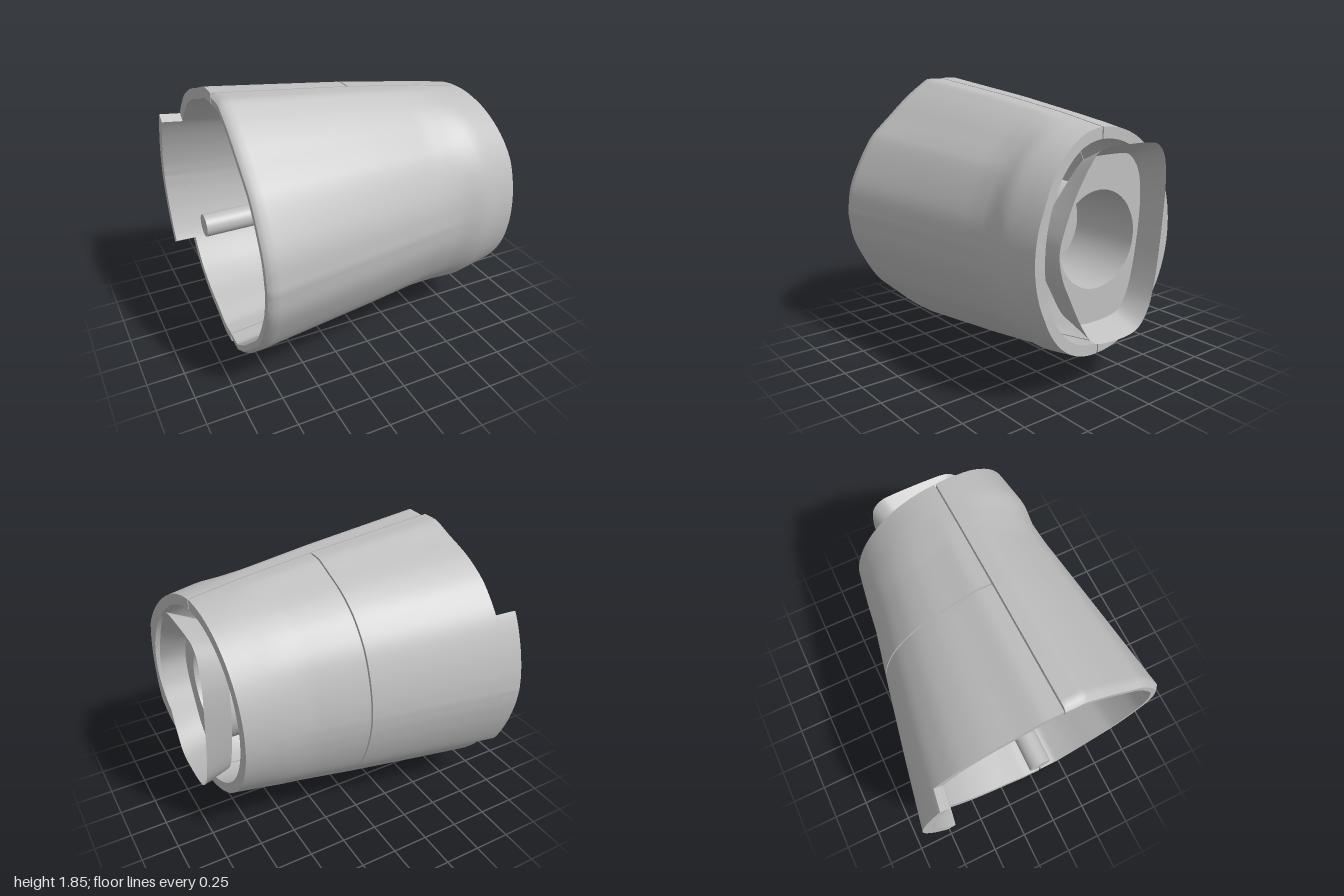
import * as THREE from 'three';
import { mergeGeometries } from 'three/addons/utils/BufferGeometryUtils.js';

const grey = new THREE.MeshStandardMaterial({ color: 0xc0c0c0, side: THREE.DoubleSide });
grey.name = 'plain grey';

const MID = 0.92; // height of the long axis
const WALL = 0.07;

// Piecewise linear lookup in [x, value] pairs
function lookup(table, x) {
  if (x <= table[0][0]) return table[0][1];
  for (let i = 1; i < table.length; i++) {
    const [a, va] = table[i - 1], [b, vb] = table[i];
    if (x <= b) return va + (vb - va) * (x - a) / (b - a);
  }
  return table[table.length - 1][1];
}

const curve = (pts, closed = false) =>
  new THREE.CatmullRomCurve3(pts.map(([a, b]) => new THREE.Vector3(a, b, 0)), closed, 'centripetal');

// Quarter outlines at the wide end, from the seam to the widest point
const front = {
  dir: 1, seam: 0.087,
  width: [[-0.86, 0.908], [0.45, 0.72], [0.58, 0.705], [0.66, 0.712], [0.74, 0.72], [1, 0.68]],
  quarter: curve([[0, 1], [0.155, 1], [0.165, 0.998], [0.26, 0.943], [0.344, 0.89], [0.45, 0.813],
    [0.55, 0.732], [0.66, 0.645], [0.745, 0.57], [0.87, 0.39], [0.965, 0.2], [1, 0]]),
};
const back = {
  dir: -1, seam: 0.077,
  width: [[-1, 0.91], [-0.86, 0.885], [-0.5, 0.82], [0, 0.725], [0.4, 0.645], [0.6, 0.62], [0.85, 0.58]],
  quarter: curve([[0, 1], [0.125, 1], [0.14, 0.997], [0.3, 0.935], [0.4, 0.9], [0.505, 0.857], [0.66, 0.762],
    [0.75, 0.675], [0.85, 0.545], [0.94, 0.33], [0.988, 0.13], [1, 0]]),
};
const height = [[-1, 0.938], [-0.83, 0.92], [0, 0.83], [0.55, 0.757], [0.89, 0.70], [1, 0.68]];
const roundness = [[-0.86, 0], [0.4, 0.3], [0.55, 0.6], [0.7, 1]];
// Slanted mouth at the narrow end, x against z
const mouth = [[-0.58, 0.845], [0.08, 0.887], [0.25, 0.91], [0.45, 0.955], [0.62, 1], [0.7, 1]];

// Point on the shell; s runs from -1 (bottom seam) through 0 (widest) to 1 (top seam)
function shellPoint(half, s, x, inset) {
  const k = 1 - Math.abs(s);
  const wide = half.quarter.getPointAt(k);
  const angle = k * Math.PI / 2;
  const t = lookup(roundness, x);
  const across = THREE.MathUtils.lerp(wide.x, Math.sin(angle), t);
  const up = THREE.MathUtils.lerp(wide.y, Math.cos(angle), t);
  // only the front shell has a chamfered outer edge
  const trim = inset + (half.dir > 0 && !inset ? Math.max(0, -0.83 - x) : 0);
  const w = lookup(half.width, x) - half.dir * half.seam - trim;
  const h = lookup(height, x) - trim;
  return [x, MID + Math.sign(s) * h * up, half.seam + half.dir * w * across];
}

// Smooth surface from a function of two steps in 0..1
function grid(fn, nu, nv) {
  const pos = [], index = [];
  for (let i = 0; i <= nu; i++) for (let j = 0; j <= nv; j++) pos.push(...fn(i / nu, j / nv));
  for (let i = 0; i < nu; i++) for (let j = 0; j < nv; j++) {
    const a = i * (nv + 1) + j, b = a + nv + 1;
    index.push(a, b, a + 1, b, b + 1, a + 1);
  }
  const g = new THREE.BufferGeometry();
  g.setAttribute('position', new THREE.Float32BufferAttribute(pos, 3));
  g.setIndex(index);
  g.computeVertexNormals();
  return g;
}

// Thick shell panel between two ends; without x1 it runs to the slanted mouth
function panel(name, half, x0, x1, sMax = 1) {
  const cols = 100, rows = 40, edge = 0.03;
  const at = (i, j, inset) => {
    const s = sMax * (2 * i - 1);
    const end = x1 ?? lookup(mouth, shellPoint(half, s, 0.93, inset)[2]);
    // a short first row holds the chamfer
    const first = 1 / rows;
    const x = j < first ? x0 + edge * j / first : x0 + edge + (end - x0 - edge) * (j - first) / (1 - first);
    return shellPoint(half, s, x, inset);
  };
  const mesh = new THREE.Mesh(mergeGeometries([
    grid((i, j) => at(i, j, 0), cols, rows),
    grid((i, j) => at(1 - i, j, WALL), cols, rows),
    grid((i, k) => at(i, 0, (1 - k) * WALL), cols, 1),
    grid((i, k) => at(i, 1, k * WALL), cols, 1),
    grid((k, j) => at(0, j, (1 - k) * WALL), 1, rows),
    grid((k, j) => at(1, j, k * WALL), 1, rows),
  ]), grey);
  mesh.name = name;
  return mesh;
}

// Flared outlet outlines as [z, y], with matching points
const rim = curve([[0.225, 1.495], [0.175, 1.513], [0.12, 1.52], [-0.2, 1.52], [-0.27, 1.505], [-0.33, 1.44],
  [-0.355, 1.29], [-0.345, 1.07], [-0.29, 0.63], [-0.24, 0.46], [-0.14, 0.35], [0.15, 0.337], [0.235, 0.365],
  [0.32, 0.475], [0.42, 0.67], [0.483, 0.815], [0.505, 0.96], [0.46, 1.11], [0.37, 1.3]], true);
const floor = curve([[0.185, 1.42], [0.145, 1.436], [0.1, 1.44], [-0.15, 1.44], [-0.21, 1.43], [-0.26, 1.39],
  [-0.31, 1.3], [-0.33, 1.09], [-0.265, 0.63], [-0.205, 0.48], [-0.13, 0.415], [0.14, 0.4], [0.2, 0.415],
  [0.31, 0.5], [0.41, 0.67], [0.478, 0.815], [0.5, 0.96], [0.455, 1.1], [0.345, 1.25]], true);
const OUTLET_STEPS = 114;
const FLOOR_X = 0.82;

// Cylinder along x
function bar(name, r, x0, x1, y, z, open) {
  const g = new THREE.CylinderGeometry(r, r, x1 - x0, 48, 1, open).rotateZ(Math.PI / 2);
  const mesh = new THREE.Mesh(g, grey);
  mesh.position.set((x0 + x1) / 2, y, z);
  mesh.name = name;
  return mesh;
}

export function createModel() {
  const model = new THREE.Group();

  // Housing shells, with narrow gaps at the seams
  model.add(
    panel('frontShell', front, -0.86),
    panel('backShellWide', back, -0.86, 0.035),
    panel('backShellNarrow', back, 0.045),
    panel('backTab', back, -1, -0.86, 0.37),
  );

  // Flared outlet wall
  const outlet = new THREE.Group();
  outlet.name = 'outlet';
  const wall = new THREE.Mesh(grid((i, j) => {
    const a = floor.getPoint(i % 1), b = rim.getPoint(i % 1);
    return [FLOOR_X + (1 - FLOOR_X) * j, a.y + (b.y - a.y) * j, a.x + (b.x - a.x) * j];
  }, OUTLET_STEPS, 1), grey);
  wall.name = 'outletWall';

  // Outlet floor with a round bore
  const outline = floor.getPoints(OUTLET_STEPS).slice(0, -1).map((p) => new THREE.Vector2(-p.x, p.y));
  const shape = new THREE.Shape(outline);
  shape.holes.push(new THREE.Path().absarc(-0.035, 0.925, 0.31, 0, Math.PI * 2, true));
  const plate = new THREE.Mesh(new THREE.ShapeGeometry(shape, 24).rotateY(Math.PI / 2), grey);
  plate.position.x = FLOOR_X;
  plate.name = 'outletFloor';
  const boreEnd = new THREE.Mesh(new THREE.CircleGeometry(0.31, 48).rotateY(Math.PI / 2), grey);
  boreEnd.position.set(0.3, 0.925, 0.035);
  boreEnd.name = 'boreEnd';
  outlet.add(wall, plate, bar('bore', 0.31, 0.3, FLOOR_X, 0.925, 0.035, true), boreEnd);

  // Central rod
  model.add(outlet, bar('rod', 0.075, -0.945, 0.3, 0.908, -0.035, false));
  return model;
}
